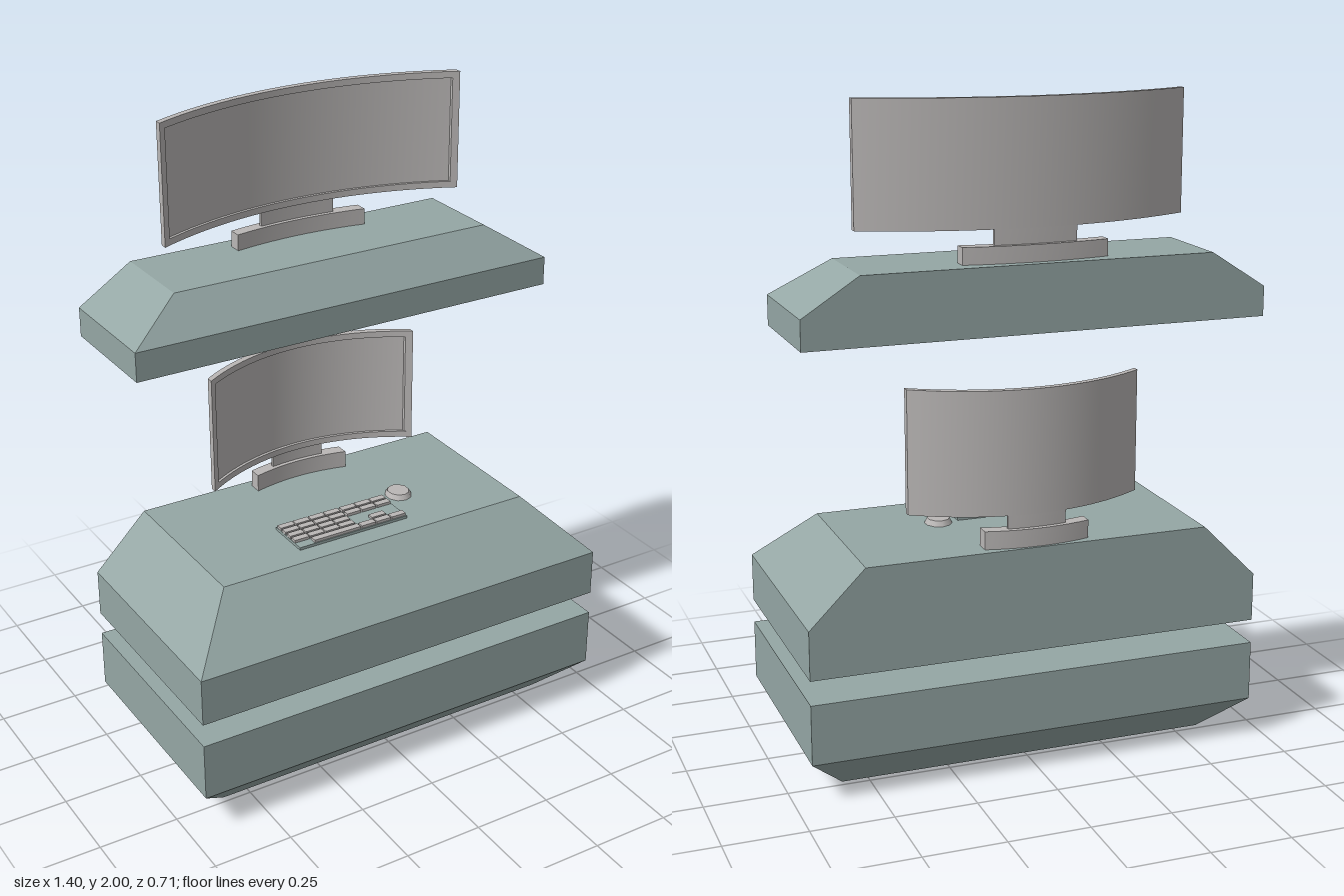
import * as THREE from 'three';

const body = new THREE.MeshStandardMaterial({ color: 0x95a7a5 });
body.name = 'grey green';
const metal = new THREE.MeshStandardMaterial({ color: 0xbab7b6 });
metal.name = 'light grey';

function add(parent, name, geometry, material) {
  const mesh = new THREE.Mesh(geometry, material);
  mesh.name = name;
  parent.add(mesh);
  return mesh;
}

// Box from min and max corners
function box(x0, x1, y0, y1, z0, z1, segments = 1) {
  return new THREE.BoxGeometry(x1 - x0, y1 - y0, z1 - z0, segments, 1, 1)
    .translate((x0 + x1) / 2, (y0 + y1) / 2, (z0 + z1) / 2);
}

// Block whose bottom and top rectangles differ: [half width, back z, front z]
function taper(y0, y1, bottom, top) {
  const g = new THREE.BoxGeometry(2, 2, 2).toNonIndexed();
  const p = g.attributes.position;
  for (let i = 0; i < p.count; i++) {
    const up = p.getY(i) > 0;
    const [w, back, front] = up ? top : bottom;
    p.setXYZ(i, p.getX(i) * w, up ? y1 : y0, p.getZ(i) > 0 ? front : back);
  }
  g.computeVertexNormals();
  return g;
}

// Curved monitor; z is the middle of the back face, w the half width
function monitor(name, w, z, base, neck, y) {
  const group = new THREE.Group();
  group.name = name;
  const R = 1.144;
  const bent = (part, x0, x1, y0, y1, z0, z1) => {
    const g = box(x0, x1, y0, y1, z0, z1, Math.max(1, Math.round((x1 - x0) / w * 12)));
    const p = g.attributes.position;
    for (let i = 0; i < p.count; i++) {
      const u = p.getX(i) / w * 0.5;
      p.setZ(i, p.getZ(i) + z + R - Math.sqrt(R * R - u * u));
    }
    g.computeVertexNormals();
    add(group, part, g, metal);
  };
  const [y0, y1, y2, y3] = y;
  const b = 0.02;
  bent('standFoot', -base, base, y0, y1, -0.015, 0.026);
  bent('standNeck', -neck, neck, y1, y2 + 0.01, 0.001, 0.012);
  bent('screen', -w, w, y2, y3, 0, 0.012);
  bent('bezelBottom', -w, w, y2, y2 + b, 0.012, 0.022);
  bent('bezelTop', -w, w, y3 - b, y3, 0.012, 0.022);
  for (const s of [-1, 1]) {
    const a = s * w, c = s * (w - b);
    bent('bezelSide', Math.min(a, c), Math.max(a, c), y2 + b, y3 - b, 0.012, 0.022);
  }
  return group;
}

function keyboard() {
  const group = new THREE.Group();
  group.name = 'keyboard';
  add(group, 'keyboardPlate', box(-0.235, 0.147, 0.705, 0.714, -0.036, 0.112), body);
  const key = (x, w, row) => {
    const front = 0.109 - row * 0.029;
    add(group, 'key', box(x, x + w, 0.714, 0.723, front - 0.022, front), metal);
  };
  // Main block and space bar
  for (let row = 1; row < 5; row++)
    for (let c = 0; c < 4; c++) key(-0.234 + c * 0.054, 0.05, row);
  key(-0.182, 0.163, 0);
  // Arrow keys and the cluster behind them
  for (let c = 0; c < 3; c++) {
    key(-0.014 + c * 0.054, 0.05, 0);
    key(-0.014 + c * 0.054, 0.05, 3);
    key(-0.014 + c * 0.054, 0.05, 4);
  }
  key(0.04, 0.05, 1);
  return group;
}

export function createModel() {
  const model = new THREE.Group();

  // Pedestal
  add(model, 'baseFoot', taper(0, 0.125, [0.58, -0.23, 0.23], [0.7, -0.353, 0.353]), body);
  add(model, 'base', box(-0.7, 0.7, 0.125, 0.31, -0.353, 0.353), body);
  const column = new THREE.CylinderGeometry(0.062, 0.062, 0.09, 8).toNonIndexed();
  column.computeVertexNormals();
  add(model, 'column', column, body).position.y = 0.347;

  // Desk and the floating shelf above it
  add(model, 'desk', box(-0.7, 0.7, 0.385, 0.535, -0.353, 0.353), body);
  add(model, 'deskTop', taper(0.535, 0.705, [0.7, -0.353, 0.353], [0.53, -0.353, 0.18]), body);
  add(model, 'shelf', box(-0.7, 0.7, 1.34, 1.43, -0.353, 0.025), body);
  add(model, 'shelfTop', taper(1.43, 1.54, [0.7, -0.353, 0.025], [0.53, -0.353, -0.067]), body);

  // Monitors
  model.add(monitor('lowerMonitor', 0.36, -0.33, 0.162, 0.09, [0.705, 0.76, 0.80, 1.175]));
  model.add(monitor('upperMonitor', 0.5, -0.31, 0.22, 0.125, [1.54, 1.59, 1.635, 2.0]));

  // Keyboard and mouse
  model.add(keyboard());
  const mouse = new THREE.CylinderGeometry(0.034, 0.042, 0.016, 10);
  mouse.scale(1, 1, 1.1).translate(0.208, 0.713, -0.033);
  add(model, 'mouse', mouse, metal);

  return model;
}
